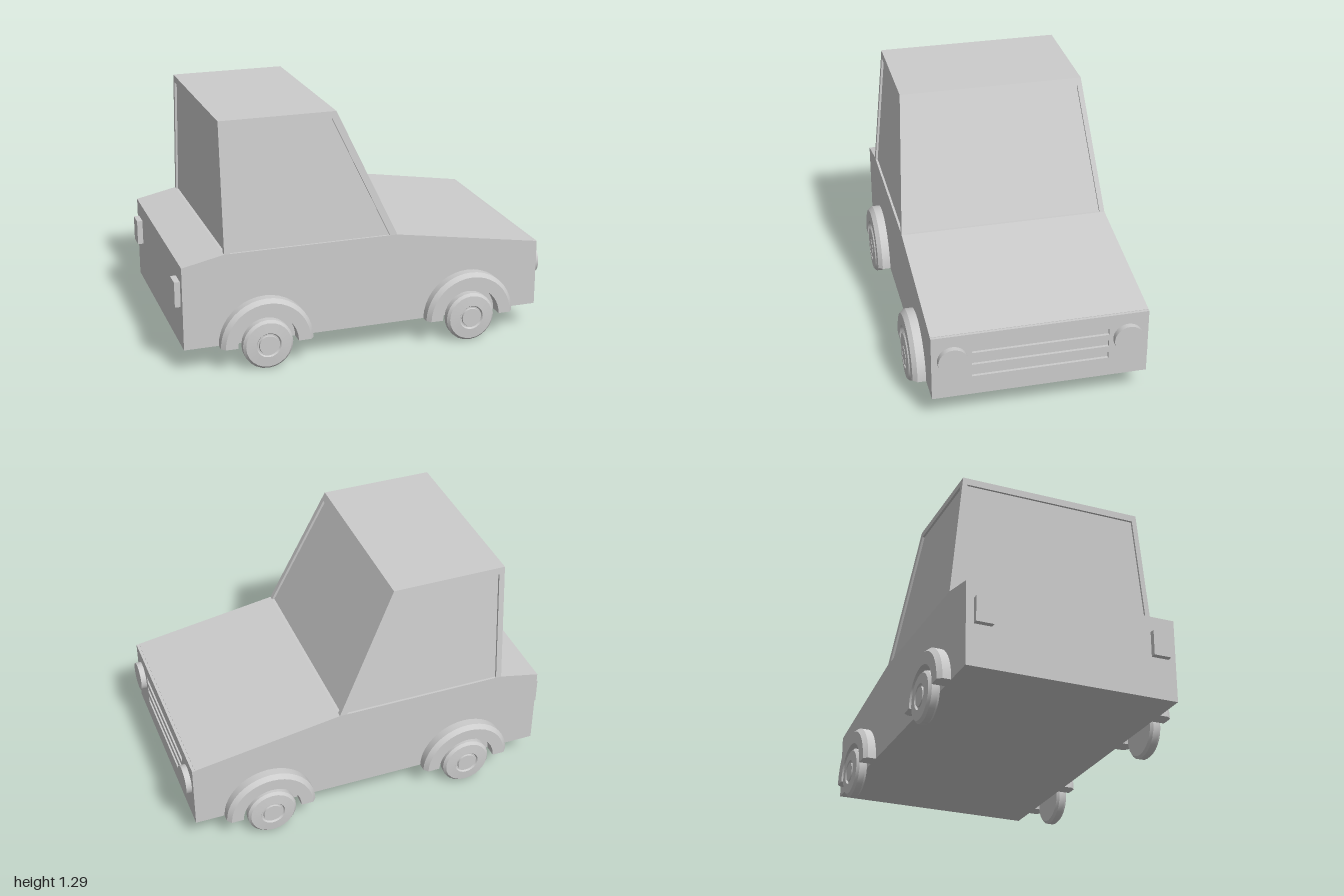
import * as THREE from 'three';
import { toCreasedNormals } from 'three/addons/utils/BufferGeometryUtils.js';
import { ConvexGeometry } from 'three/addons/geometries/ConvexGeometry.js';

const grey = new THREE.MeshStandardMaterial({ color: 0xcccccc });
const vec2 = (pts) => pts.map(([a, b]) => new THREE.Vector2(a, b));

function add(parent, name, geometry, x = 0, y = 0, z = 0) {
  const mesh = new THREE.Mesh(geometry, grey);
  mesh.name = name;
  mesh.position.set(x, y, z);
  parent.add(mesh);
  return mesh;
}

// Revolve an [r, z] profile around the z axis, keeping hard edges
function turned(profile, segments, start = 0, length = Math.PI * 2) {
  const geo = new THREE.LatheGeometry(vec2(profile), segments, start, length);
  geo.rotateX(Math.PI / 2);
  return toCreasedNormals(geo, 0.6);
}

// Cabin outline at height y: rear x, front x and half width
const BELT = 0.625, ROOF = 1.295;
function cabinAt(y) {
  const t = (y - BELT) / (ROOF - BELT);
  return { rear: -0.75, front: 0.17 - 0.31 * t, half: 0.56 - 0.065 * t };
}

// Solid between two heights; bounds(section) gives [x0, x1, z0, z1]
function cabinSolid(y0, y1, bounds) {
  const pts = [];
  for (const y of [y0, y1]) {
    const [x0, x1, z0, z1] = bounds(cabinAt(y));
    for (const x of [x0, x1]) for (const z of [z0, z1]) pts.push(new THREE.Vector3(x, y, z));
  }
  return new ConvexGeometry(pts);
}

export function createModel() {
  const car = new THREE.Group();
  car.name = 'car';

  // Body: side profile extruded across the width
  const side = new THREE.Shape(vec2([
    [-0.97, 0.135], [0.955, 0.135], [0.955, 0.497], [0.17, BELT], [-0.75, BELT], [-0.97, 0.578],
  ]));
  const bodyGeo = new THREE.ExtrudeGeometry(side, { depth: 1.12, bevelEnabled: false });
  add(car, 'body', bodyGeo, 0, 0, -0.56);

  // Front panel with three recessed grille slots
  const panel = new THREE.Shape(vec2([[-0.56, 0.135], [0.56, 0.135], [0.56, 0.495], [-0.56, 0.495]]));
  for (const y of [0.26, 0.33, 0.4]) {
    panel.holes.push(new THREE.Path(vec2([
      [-0.354, y - 0.018], [-0.354, y + 0.018], [0.354, y + 0.018], [0.354, y - 0.018],
    ])));
  }
  const panelGeo = new THREE.ExtrudeGeometry(panel, { depth: 0.015, bevelEnabled: false });
  panelGeo.rotateY(Math.PI / 2);
  add(car, 'grillePanel', panelGeo, 0.955);

  // Cabin: inset glass, roof slab and four corner pillars
  const cabin = new THREE.Group();
  cabin.name = 'cabin';
  car.add(cabin);
  const under = 1.258, inset = 0.012;
  add(cabin, 'windows', cabinSolid(BELT, under, (c) =>
    [c.rear + inset, c.front - inset * 1.2, -c.half + inset, c.half - inset]));
  add(cabin, 'roof', cabinSolid(under, ROOF, (c) => [c.rear, c.front, -c.half, c.half]));
  for (const s of [-1, 1]) {
    add(cabin, 'rearPillar', cabinSolid(BELT, under, (c) =>
      [c.rear, c.rear + 0.03, s * c.half, s * (c.half - 0.027)]));
    add(cabin, 'frontPillar', cabinSolid(BELT, under, (c) =>
      [c.front - 0.04, c.front, s * c.half, s * (c.half - 0.027)]));
  }

  // Wheels and the arches around them
  const wheelGeo = turned([
    [0, 0.569], [0.12, 0.569], [0.133, 0.582], [0.133, 0.615], [0.12, 0.629],
    [0.066, 0.633], [0.06, 0.624], [0.052, 0.624], [0.05, 0.633], [0, 0.633],
  ], 24);
  const arch = [[0.16, 0.555], [0.245, 0.555], [0.245, 0.604], [0.225, 0.627], [0.16, 0.627], [0.16, 0.555]];
  const archGeo = turned(arch, 20, Math.PI / 2, Math.PI);
  const archEnds = [-1, 1].map((s) => {
    const shape = new THREE.Shape(vec2(arch.slice(0, -1).map(([r, z]) => [s * r, z])));
    return new THREE.ShapeGeometry(shape).rotateX(Math.PI / 2);
  });
  for (const x of [-0.545, 0.57]) {
    for (const turn of [0, Math.PI]) {
      const corner = new THREE.Group();
      corner.name = x > 0 ? 'frontWheelSet' : 'rearWheelSet';
      corner.position.set(x, 0.135, 0);
      corner.rotation.y = turn;
      add(corner, 'wheel', wheelGeo, 0, -0.001);
      add(corner, 'wheelArch', archGeo);
      archEnds.forEach((g) => add(corner, 'wheelArchEnd', g));
      car.add(corner);
    }
  }

  // Headlights and tail lights
  const headGeo = new THREE.CylinderGeometry(0.077, 0.077, 0.04, 32).rotateZ(-Math.PI / 2);
  const tailGeo = new THREE.BoxGeometry(0.04, 0.135, 0.093);
  for (const s of [-1, 1]) {
    add(car, 'headlight', headGeo, 0.98, 0.357, s * 0.453);
    add(car, 'tailLight', tailGeo, -0.98, 0.424, s * 0.473);
  }
  return car;
}
